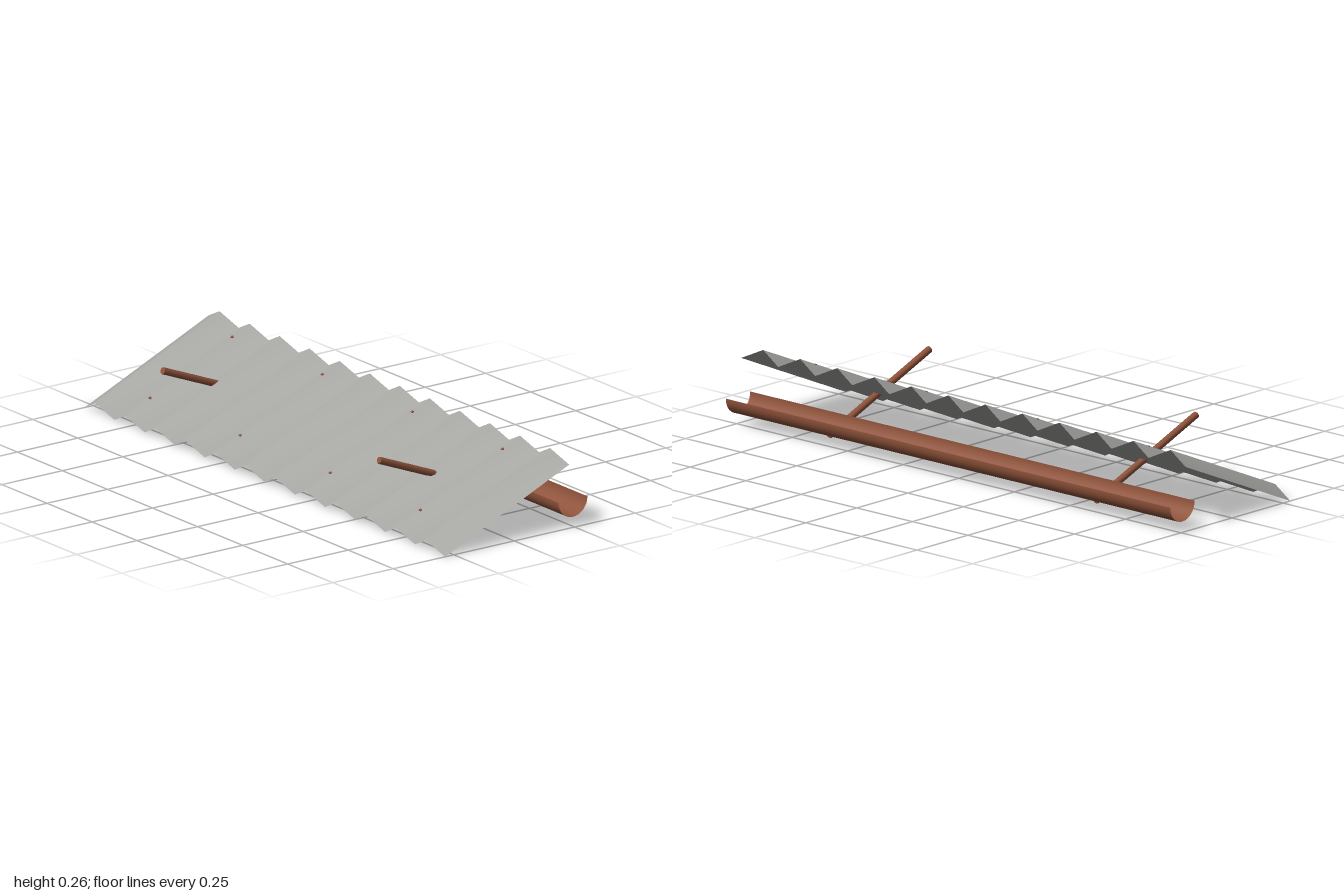
import * as THREE from 'three';

export function createModel() {
  const model = new THREE.Group();
  const metal = new THREE.MeshStandardMaterial({ name: 'grey metal', color: 0xa6a6a3, side: THREE.DoubleSide });
  const rust = new THREE.MeshStandardMaterial({ name: 'rusty brown', color: 0x8f533b, side: THREE.DoubleSide });

  const add = (name, geometry, material, parent = model) => {
    const mesh = new THREE.Mesh(geometry, material);
    mesh.name = name;
    parent.add(mesh);
    return mesh;
  };

  // Sloping awning: a zigzag sheet with twelve ridges, low at both ends
  const awning = new THREE.Group();
  awning.name = 'awning';
  awning.position.set(0, 0.1335, 0.0375);
  awning.rotation.x = 0.408;
  model.add(awning);

  const ridge = 0.0215;
  const sheet = new THREE.PlaneGeometry(2, 0.559, 24, 1);
  const p = sheet.attributes.position;
  for (let i = 0; i < p.count; i++) p.setZ(i, (i % 25) % 2 ? ridge : -ridge);
  sheet.rotateX(-Math.PI / 2);
  sheet.computeVertexNormals();
  add('corrugatedSheet', sheet, metal, awning);

  // Small screws sunk into the ridges
  for (const x of [-0.75, -0.25, 0.25, 0.75]) {
    for (const z of [-0.2, 0.17]) {
      const screw = add('screw', new THREE.CylinderGeometry(0.006, 0.006, 0.008, 6), rust, awning);
      screw.position.set(x, ridge - 0.0035, z);
    }
  }

  // Half-round gutter under the back edge, open at the top and ends
  const gutter = new THREE.CylinderGeometry(0.06, 0.06, 2, 16, 1, true, Math.PI, Math.PI);
  gutter.rotateZ(Math.PI / 2);
  add('gutter', gutter, rust).position.set(0, 0.1, -0.243);

  // Slanted support rods passing through the sheet
  for (const x of [-0.6, 0.6]) {
    const rod = add('supportRod', new THREE.CylinderGeometry(0.012, 0.012, 0.53, 8), rust);
    rod.position.set(x, 0.1325, 0.0143);
    rod.rotation.x = 1.192;
  }

  return model;
}
